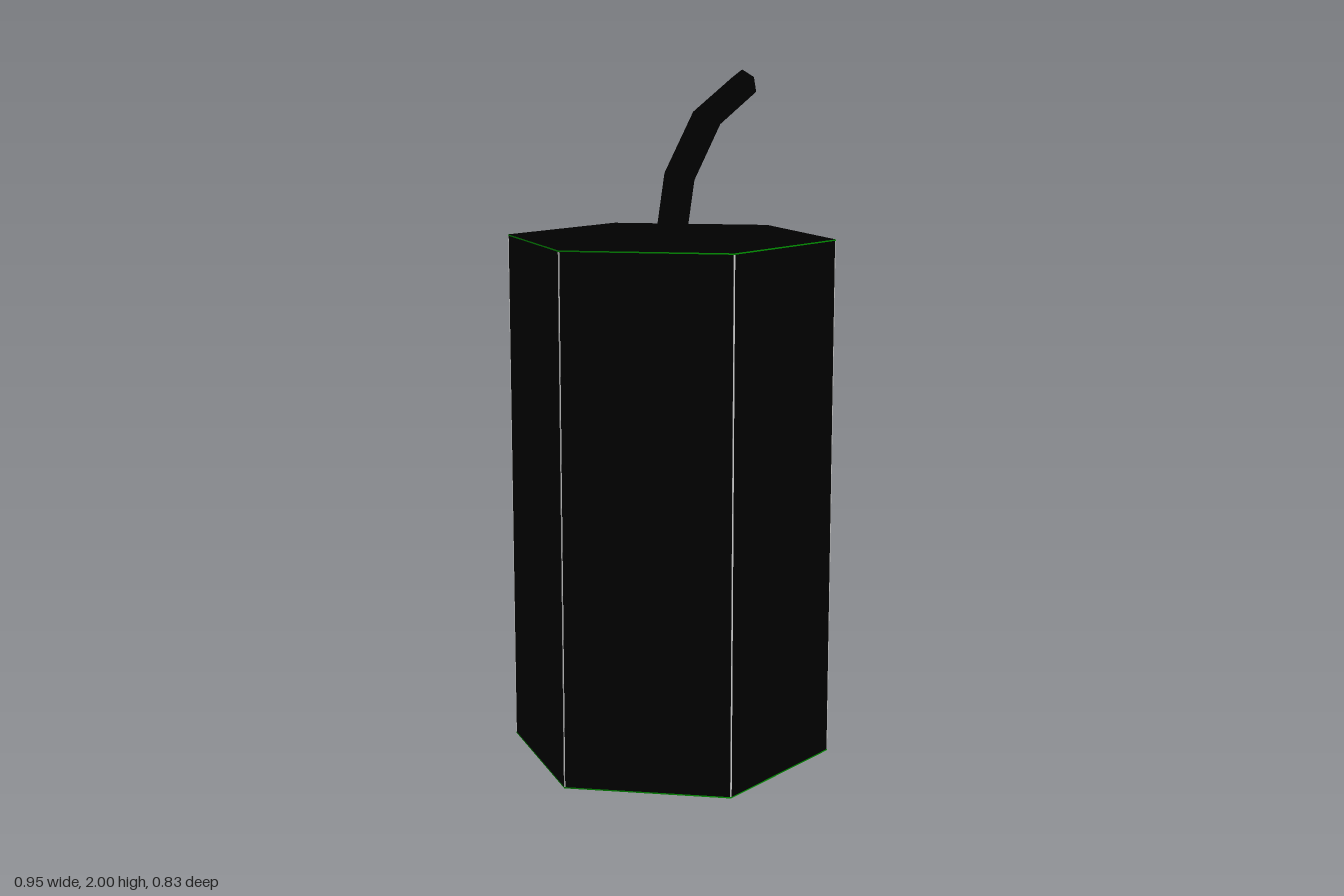
import * as THREE from 'three';
import { toCreasedNormals } from 'three/addons/utils/BufferGeometryUtils.js';

function flatColour(name, color) {
  const material = new THREE.MeshStandardMaterial({ color });
  material.name = name;
  return material;
}
const black = flatColour('black', 0x000000);
const green = flatColour('green', 0x009000);
const paleGrey = flatColour('pale grey', 0xcccccc);

// Six-sided tube lofted through rings; each ring has a centre (x, y) and a bend tilt
function createFuseGeometry(rings, radius) {
  const sides = 6, positions = [], indices = [];
  for (const { x, y, tilt } of rings) {
    for (let i = 0; i < sides; i++) {
      const a = (i / sides) * Math.PI * 2;
      const across = Math.cos(a) * radius;
      positions.push(x + across * Math.cos(tilt), y + across * Math.sin(tilt), Math.sin(a) * radius);
    }
  }
  for (let r = 0; r < rings.length - 1; r++) {
    for (let i = 0; i < sides; i++) {
      const a = r * sides + i, b = r * sides + (i + 1) % sides;
      indices.push(a, a + sides, b, b, a + sides, b + sides);
    }
  }
  // End caps
  const last = (rings.length - 1) * sides;
  for (let i = 1; i < sides - 1; i++) {
    indices.push(0, i, i + 1, last, last + i + 1, last + i);
  }
  const geometry = new THREE.BufferGeometry();
  geometry.setAttribute('position', new THREE.Float32BufferAttribute(positions, 3));
  geometry.setIndex(indices);
  // Smooth round the tube, sharp at the caps
  return toCreasedNormals(geometry, 1.2);
}

export function createModel() {
  const model = new THREE.Group();
  model.name = 'firecracker';
  const height = 1.53, radius = 0.476, line = 0.004;

  function add(name, geometry, material, y = 0) {
    const mesh = new THREE.Mesh(geometry, material);
    mesh.name = name;
    mesh.position.y = y;
    model.add(mesh);
    return mesh;
  }
  // Hexagonal drum with corners on the left and right
  const hexagon = (r, h, open) => new THREE.CylinderGeometry(r, r, h, 6, 1, open, Math.PI / 2);

  add('body', hexagon(radius, height, false), black, height / 2);

  // Hairline green rims round both ends
  add('topRim', hexagon(radius + 0.001, line, true), green, height - line / 2);
  add('bottomRim', hexagon(radius + 0.001, line, true), green, line / 2);

  // Hairline pale seams along the six corners
  for (let i = 0; i < 6; i++) {
    const a = (i / 6) * Math.PI * 2;
    const seam = add('cornerSeam', new THREE.BoxGeometry(0.003, height - 2 * line, line), paleGrey, height / 2);
    seam.position.x = Math.cos(a) * (radius - 0.001);
    seam.position.z = -Math.sin(a) * (radius - 0.001);
    seam.rotation.y = a;
  }

  // Fuse bending towards the left
  add('fuse', createFuseGeometry([
    { x: 0.005, y: 1.525, tilt: 0 },
    { x: 0.044, y: 1.7, tilt: -0.45 },
    { x: 0.171, y: 1.863, tilt: -0.88 },
    { x: 0.354, y: 1.957, tilt: -1.3 },
  ], 0.045), black);

  return model;
}
